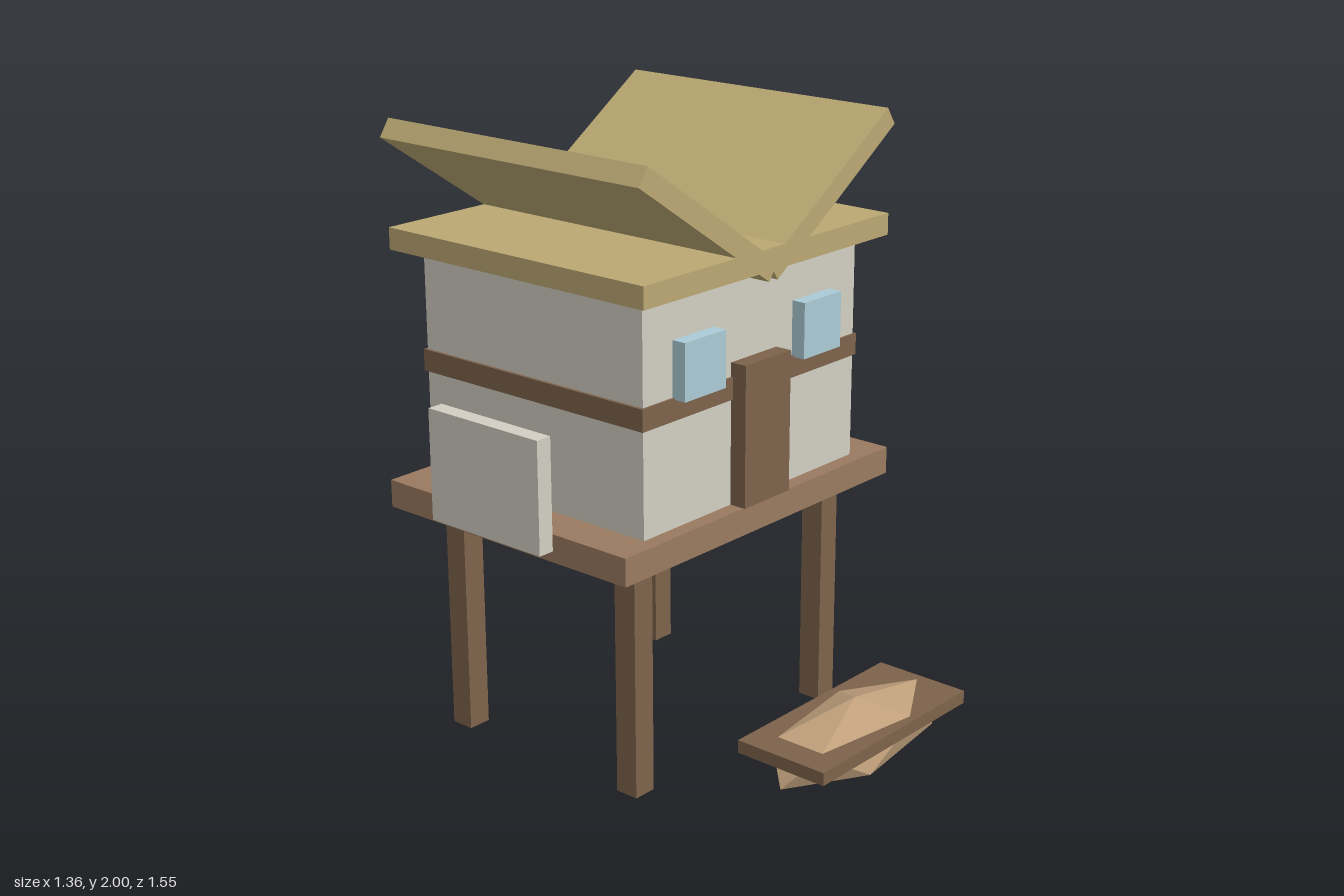
import * as THREE from 'three';
import { ConvexGeometry } from 'three/addons/geometries/ConvexGeometry.js';

const mat = (color) => new THREE.MeshStandardMaterial({ color, flatShading: true });

export function createModel() {
  const model = new THREE.Group();
  model.name = 'stiltHouse';

  const darkWood = mat(0x7d624b);
  const deckWood = mat(0x9a7a60);
  const paleWood = mat(0xb1967a);
  const thatch = mat(0xbba873);
  const plaster = mat(0xd2cec2);
  const glass = mat(0xabcbd6);
  const hullWood = mat(0xbf9f7b);

  const add = (name, geometry, material) => {
    const mesh = new THREE.Mesh(geometry, material);
    mesh.name = name;
    model.add(mesh);
    return mesh;
  };

  // Box given by its extents along each axis
  const block = (name, [x0, x1], [y0, y1], [z0, z1], material) => {
    const mesh = add(name, new THREE.BoxGeometry(x1 - x0, y1 - y0, z1 - z0), material);
    mesh.position.set((x0 + x1) / 2, (y0 + y1) / 2, (z0 + z1) / 2);
    return mesh;
  };

  // Stilts and deck
  for (const x of [-0.43, 0.48])
    for (const z of [0.12, -0.61])
      block('stilt', [x - 0.04, x + 0.04], [0, 0.78], [z - 0.04, z + 0.04], darkWood);
  block('deck', [-0.61, 0.66], [0.775, 0.865], [-0.745, 0.255], deckWood);

  // House body
  block('walls', [-0.475, 0.525], [0.865, 1.6], [-0.697, 0.205], plaster);
  block('wallBand', [-0.485, 0.532], [1.205, 1.275], [-0.705, 0.213], darkWood);
  block('door', [-0.08, 0.135], [0.865, 1.32], [0.19, 0.262], darkWood);
  for (const x of [-0.345, 0.212])
    block('window', [x, x + 0.183], [1.27, 1.45], [0.19, 0.253], glass);

  // Flat roof with two raised panels forming a V
  block('roofSlab', [-0.548, 0.6], [1.595, 1.665], [-0.77, 0.277], thatch);
  for (const side of [-1, 1]) {
    const panel = add('roofPanel', new THREE.BoxGeometry(0.688, 0.066, 1.05), thatch);
    panel.position.set(0.028 + side * 0.287, 1.781, -0.248);
    panel.rotation.z = side * 0.588;
  }

  // Pole and hanging board at the sides
  block('pole', [0.643, 0.678], [0.775, 1.77], [-0.265, -0.23], paleWood);
  block('sideBoard', [-0.682, -0.627], [0.82, 1.18], [-0.477, -0.02], plaster);

  // Boat: faceted stretched hull passing through a flat rim
  block('boatRim', [-0.335, 0.388], [0.203, 0.245], [0.452, 0.775], darkWood);
  const points = [new THREE.Vector3(0, 0.118, 0), new THREE.Vector3(0, -0.118, 0)];
  for (let i = 0; i < 5; i++) {
    const a = (i * Math.PI * 2) / 5;
    const p = new THREE.Vector3(0.36 * Math.cos(a), 0.053, 0.155 * Math.sin(a));
    points.push(p, p.clone().negate());
  }
  add('boatHull', new ConvexGeometry(points), hullWood).position.set(0.028, 0.187, 0.614);

  return model;
}
